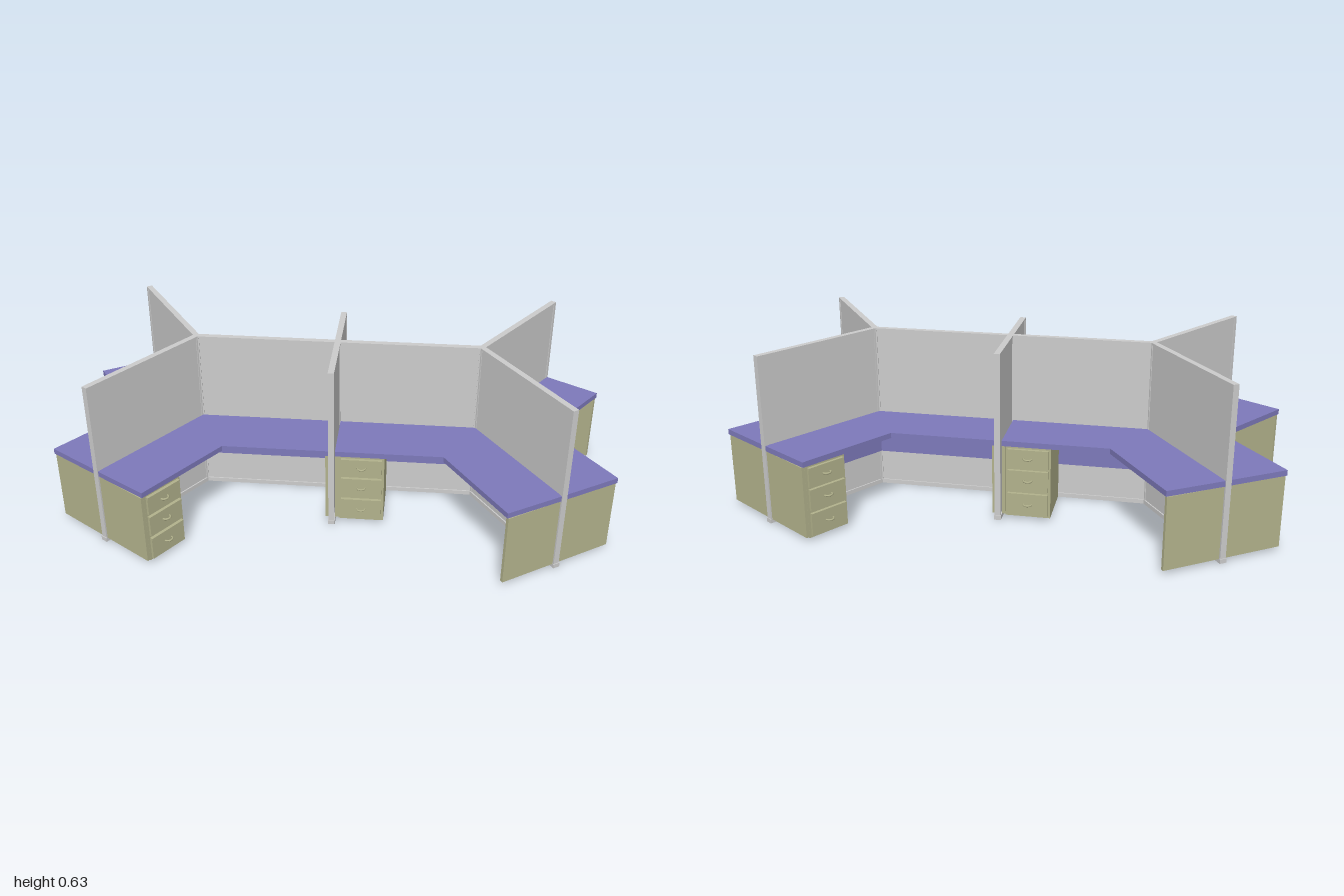
import * as THREE from 'three';

const PURPLE = new THREE.MeshStandardMaterial({ color: 0x7d79ba });
const OLIVE = new THREE.MeshStandardMaterial({ color: 0xb2b28c });
const GREY = new THREE.MeshStandardMaterial({ color: 0xcccccc });

const CORNER = 0.52;          // where the spine meets the arms
const ARM_END = [0.806, 0.43];
const DESK_TOP = 0.3, DESK_UNDER = 0.28, DEPTH = 0.228, PANEL_TOP = 0.63;

// Box given by its min and max corners
function box(name, material, x0, x1, y0, y1, z0, z1) {
  const mesh = new THREE.Mesh(new THREE.BoxGeometry(x1 - x0, y1 - y0, z1 - z0), material);
  mesh.position.set((x0 + x1) / 2, (y0 + y1) / 2, (z0 + z1) / 2);
  mesh.name = name;
  return mesh;
}

// Group whose local +x runs from one floor point to another
function along(name, from, to) {
  const g = new THREE.Group();
  g.name = name;
  g.position.set(from[0], 0, from[1]);
  g.rotation.y = -Math.atan2(to[1] - from[1], to[0] - from[0]);
  g.userData.length = Math.hypot(to[0] - from[0], to[1] - from[1]);
  return g;
}

// Upright divider with end posts, top cap and base rail
function divider(name, from, to) {
  const g = along(name, from, to), L = g.userData.length;
  g.add(
    box('panel', GREY, 0, L, 0.015, PANEL_TOP - 0.005, -0.008, 0.008),
    box('topCap', GREY, 0, L, PANEL_TOP - 0.006, PANEL_TOP, -0.011, 0.011),
    box('baseRail', GREY, 0, L + 0.006, 0, 0.016, -0.013, 0.013),
    box('innerPost', GREY, 0, 0.012, 0.015, PANEL_TOP, -0.011, 0.011),
    box('outerPost', GREY, L - 0.01, L + 0.003, 0.015, PANEL_TOP, -0.011, 0.011)
  );
  return g;
}

// Three-drawer cabinet, centred on x, front face at z = 0 looking to +z
function pedestal() {
  const g = new THREE.Group();
  g.name = 'drawerPedestal';
  g.add(box('cabinet', OLIVE, -0.0825, 0.0825, 0.01, DESK_UNDER, -0.195, 0));
  for (const [y0, y1] of [[0.016, 0.103], [0.113, 0.193], [0.201, 0.274]]) {
    g.add(box('drawerFront', OLIVE, -0.074, 0.074, y0, y1, 0, 0.009));
    g.add(box('drawerLip', OLIVE, -0.074, 0.074, y1 - 0.008, y1, 0.009, 0.012));
    // Curved pull lying flat in front of the drawer
    const pull = new THREE.Mesh(new THREE.TorusGeometry(0.015, 0.0035, 6, 12, Math.PI), OLIVE);
    pull.name = 'drawerPull';
    pull.rotation.x = Math.PI / 2;
    pull.position.set(0, (y0 + y1) / 2 + 0.002, 0.008);
    g.add(pull);
  }
  return g;
}

// Supports under one half of a desk; side tells which way the user sits
function deskLeg(from, to, side, hasDrawers) {
  const g = along('deskLeg', from, to), L = g.userData.length;
  const strip = (name, mat, x0, x1, y0, y1, d0, d1) =>
    box(name, mat, x0, x1, y0, y1, Math.min(side * d0, side * d1), Math.max(side * d0, side * d1));
  g.add(strip('modestyPanel', PURPLE, 0.008, L - 0.01, 0.14, DESK_UNDER, 0.013, 0.023));
  g.add(strip('endPanel', OLIVE, L - 0.013, L - 0.001, 0.015, DESK_UNDER, 0.013, DEPTH));
  if (hasDrawers) {
    const p = pedestal();
    p.position.set(L - 0.0965, 0, side * (DEPTH - 0.001));
    if (side < 0) p.rotation.y = Math.PI;
    g.add(p);
  }
  return g;
}

// Flat worktop from an outline of [x, z] points
function worktop(points) {
  const shape = new THREE.Shape(points.map(([x, z]) => new THREE.Vector2(x, z)));
  const geo = new THREE.ExtrudeGeometry(shape, { depth: DESK_TOP - DESK_UNDER, bevelEnabled: false });
  geo.rotateX(Math.PI / 2);
  const mesh = new THREE.Mesh(geo, PURPLE);
  mesh.name = 'worktop';
  mesh.position.y = DESK_TOP;
  return mesh;
}

// Three desks and two arm dividers; a half turn gives the rest
function halfCluster() {
  const g = new THREE.Group();
  g.name = 'halfCluster';
  const [ax, az] = ARM_END;
  const inner = [[0.011, 0.01], [0.515, 0.01], [0.798, 0.4355], [0.612, 0.553], [0.4, DEPTH], [0.011, DEPTH]];
  const outer = [[0.532, 0], [0.814, 0.4245], [1, 0.305], [0.782, 0], [1, -0.305], [0.814, -0.4245]];

  // Front desks either side of the centre divider
  for (const m of [1, -1]) {
    const desk = new THREE.Group();
    desk.name = m > 0 ? 'frontLeftDesk' : 'frontRightDesk';
    const c = [m * CORNER, 0];
    desk.add(
      worktop(inner.map(([x, z]) => [m * x, z])),
      deskLeg(c, [m * 0.011, 0], -m, m > 0),
      deskLeg(c, [m * ax, az], m, m < 0)
    );
    g.add(desk);
  }

  // Desk in the fork at the end
  const endDesk = new THREE.Group();
  endDesk.name = 'endDesk';
  endDesk.add(
    worktop(outer),
    deskLeg([CORNER, 0], [ax, az], -1, true),
    deskLeg([CORNER, 0], [ax, -az], 1, false)
  );
  g.add(endDesk);

  for (const s of [1, -1]) g.add(divider('armDivider', [CORNER, 0], [ax, s * az]));
  g.add(divider('spineDivider', [0, 0], [CORNER, 0]));
  g.add(divider('crossDivider', [0, 0], [0, 0.25]));
  return g;
}

export function createModel() {
  const model = new THREE.Group();
  model.name = 'deskCluster';
  const a = halfCluster(), b = halfCluster();
  b.rotation.y = Math.PI;
  model.add(a, b);
  return model;
}
